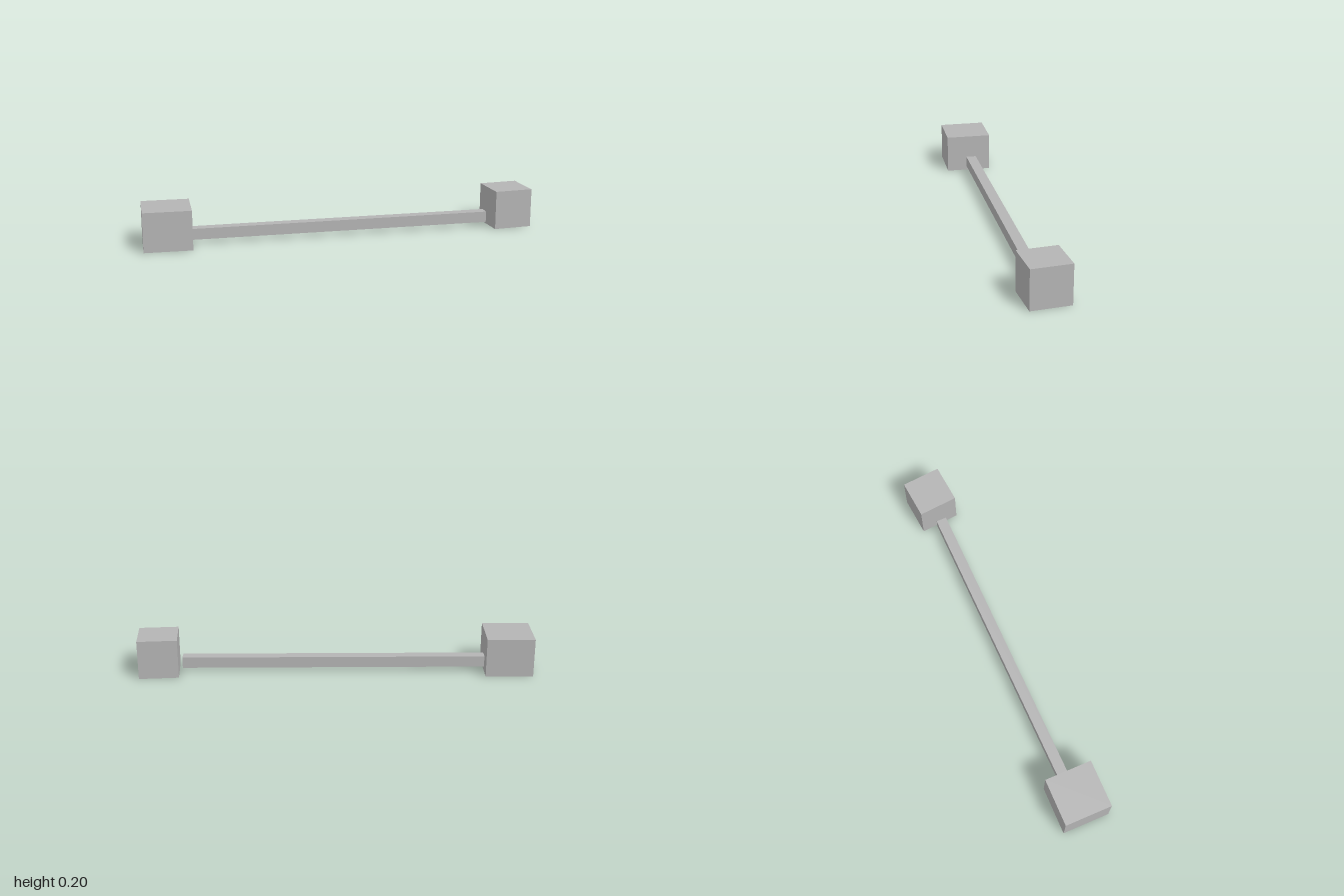
import * as THREE from 'three';

export function createModel() {
  const model = new THREE.Group();
  const grey = new THREE.MeshStandardMaterial({ color: 0xb4b4b4 });
  grey.name = 'plain grey';

  // Box centred at (x, y, z), turned about the vertical axis
  const addBox = (name, size, position, degrees) => {
    const mesh = new THREE.Mesh(new THREE.BoxGeometry(...size), grey);
    mesh.name = name;
    mesh.position.set(...position);
    mesh.rotation.y = THREE.MathUtils.degToRad(degrees);
    model.add(mesh);
  };

  // End blocks: the right one is larger, each has its own slight turn
  addBox('rightBlock', [0.24, 0.2, 0.241], [-0.86, 0.1, 0.193], 11.3);
  addBox('leftBlock', [0.2, 0.2, 0.2], [0.874, 0.1, -0.209], 16.8);

  // Bar meeting the right block and stopping just short of the left one
  const start = new THREE.Vector2(-0.745, 0.156);
  const end = new THREE.Vector2(0.76, -0.173);
  const span = end.clone().sub(start);
  const middle = start.clone().add(end).multiplyScalar(0.5);
  const turn = THREE.MathUtils.radToDeg(Math.atan2(-span.y, span.x));
  addBox('bar', [span.length(), 0.056, 0.054], [middle.x, 0.05, middle.y], turn);

  return model;
}
